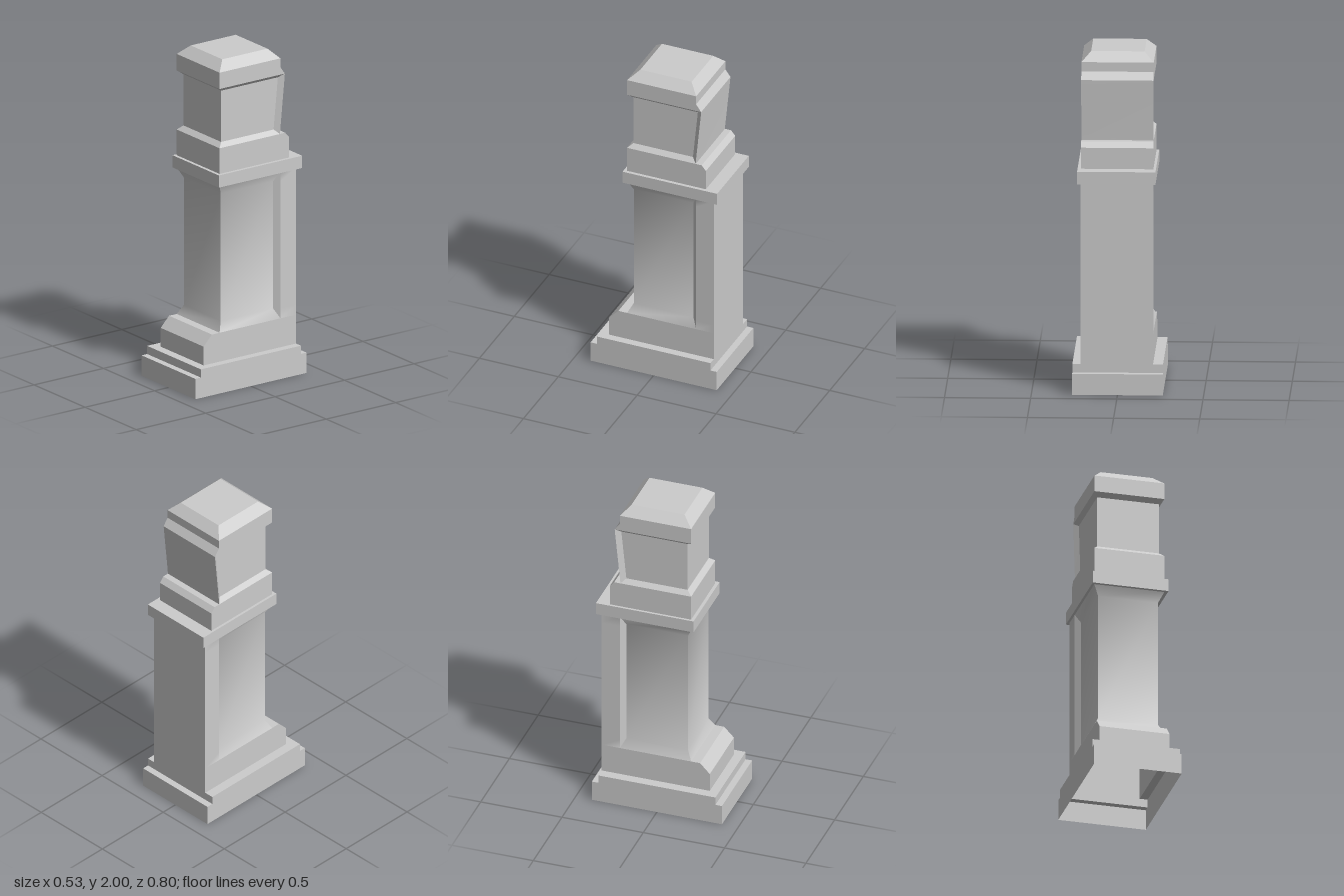
import * as THREE from 'three';
import { toCreasedNormals } from 'three/addons/utils/BufferGeometryUtils.js';

// Horizontal section. The front and sides can be inset (ix, iz) while the
// back slab behind z = jamb keeps its full width, joined by slanted jambs.
function ring(y, x0, x1, front, back, ix = 0, iz = 0, jamb = back) {
  const f = front - iz, j = jamb + iz;
  return [
    [x1 - ix, f], [x1 - ix, j], [x1, jamb], [x1, back],
    [x0, back], [x0, jamb], [x0 + ix, j], [x0 + ix, f],
  ].map(([x, z]) => [x, y, z]);
}

// Skin a stack of rings, optionally closing the top.
function loft(name, rings, material, closeTop = false) {
  const pos = [];
  const n = rings[0].length;
  const tri = (a, b, c) => pos.push(...a, ...b, ...c);
  for (let i = 0; i < rings.length - 1; i++) {
    for (let k = 0; k < n; k++) {
      const l = (k + 1) % n, lo = rings[i], hi = rings[i + 1];
      tri(lo[k], lo[l], hi[l]);
      tri(lo[k], hi[l], hi[k]);
    }
  }
  if (closeTop) {
    const top = rings[rings.length - 1];
    for (let k = 1; k < n - 1; k++) tri(top[0], top[k], top[k + 1]);
  }
  const geo = new THREE.BufferGeometry();
  geo.setAttribute('position', new THREE.Float32BufferAttribute(pos, 3));
  const mesh = new THREE.Mesh(toCreasedNormals(geo, 0.5), material);
  mesh.name = name;
  return mesh;
}

export function createModel() {
  const group = new THREE.Group();
  group.name = 'pillar';
  const material = new THREE.MeshStandardMaterial({ color: 0xcccccc, side: THREE.DoubleSide });

  const body = (y, front, back, ...inset) => ring(y, -0.205, 0.215, front, back, ...inset);
  const foot = (y, z) => ring(y, -0.263, 0.263, z, -z);
  const band = (y) => ring(y, -0.22, 0.235, 0.21, -0.39);

  // Each part starts on the last ring of the one below: a hollow shell, open underneath
  const parts = [
    // Foot, stepped at front and back only
    ['base', [foot(0, 0.4), foot(0.125, 0.4), foot(0.125, 0.36), foot(0.175, 0.36)]],
    // Lower plinth with a chamfered front
    ['plinth', [body(0.175, 0.305, -0.36), body(0.29, 0.305, -0.36),
      body(0.352, 0.245, -0.36), body(0.352, 0.19, -0.36, 0, 0, -0.248)]],
    // Recessed shaft with a full-width back slab
    ['shaft', [body(0.352, 0.19, -0.36, 0, 0, -0.248), body(0.41, 0.19, -0.36, 0.03, 0.03, -0.248),
      body(1.19, 0.19, -0.36, 0.03, 0.03, -0.248), body(1.25, 0.19, -0.36, 0, 0, -0.248)]],
    // Projecting collar
    ['collar', [band(1.25), band(1.325)]],
    // Upper plinth with a chamfered back
    ['upperPlinth', [body(1.325, 0.19, -0.31), body(1.45, 0.19, -0.31),
      body(1.482, 0.19, -0.283), body(1.482, 0.19, -0.245)]],
    // Upper shaft, its back leaning outward
    ['upperShaft', [body(1.482, 0.19, -0.245), body(1.508, 0.19, -0.247, 0.025, 0.03),
      body(1.822, 0.19, -0.278, 0.025, 0.03), body(1.845, 0.19, -0.28)]],
    // Cap with a bevelled top
    ['cap', [body(1.845, 0.19, -0.28), body(1.89, 0.19, -0.248), body(1.945, 0.19, -0.248),
      ring(2, -0.15, 0.16, 0.13, -0.195)]],
  ];

  let last = null;
  parts.forEach(([name, rings], i) => {
    const stack = last ? [last, ...rings] : rings;
    group.add(loft(name, stack, material, i === parts.length - 1));
    last = rings[rings.length - 1];
  });
  return group;
}
